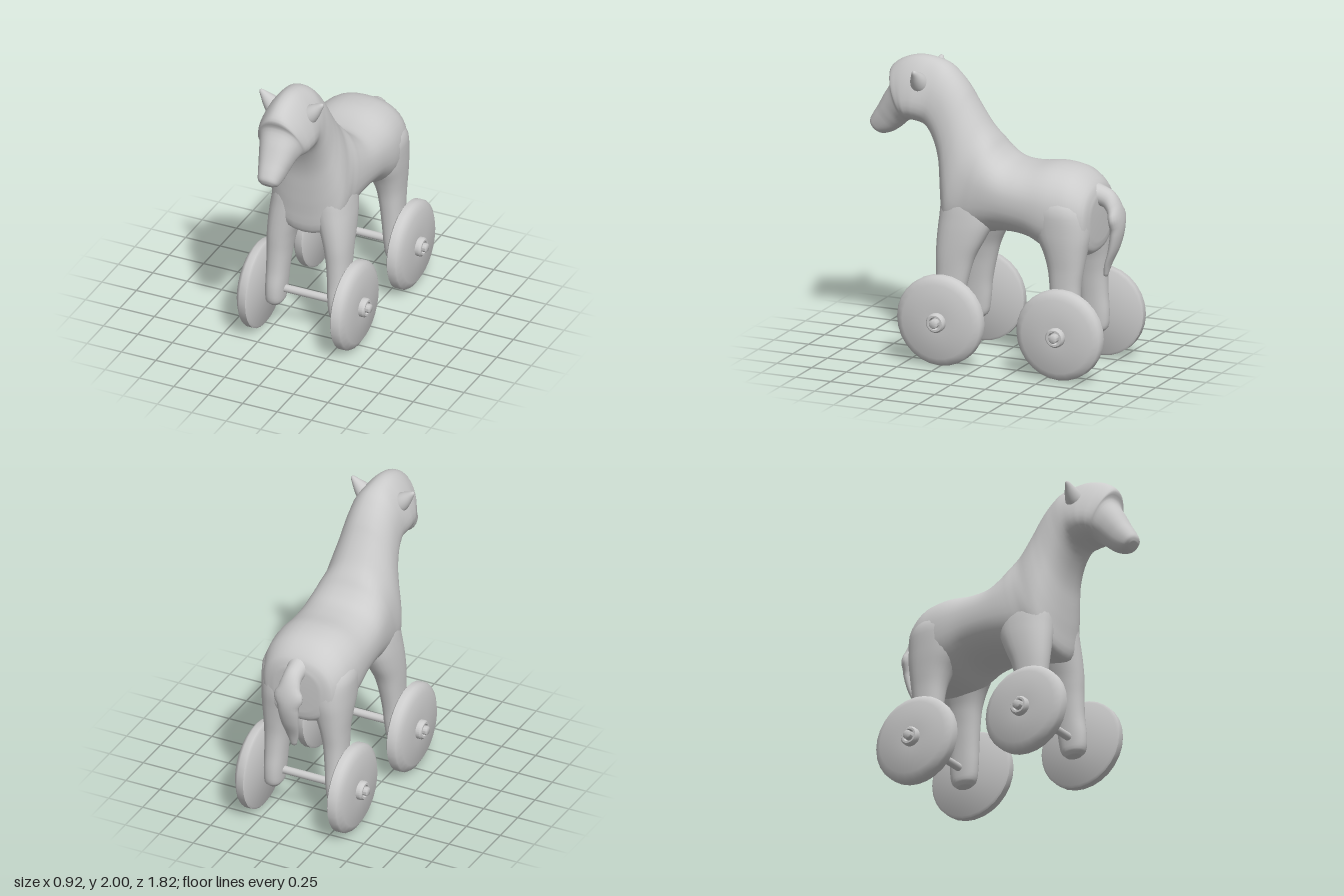
import * as THREE from 'three';
import { toCreasedNormals } from 'three/addons/utils/BufferGeometryUtils.js';

const material = new THREE.MeshStandardMaterial({ color: 0xcccccc });

function add(parent, name, geometry) {
  const mesh = new THREE.Mesh(geometry, material);
  mesh.name = name;
  parent.add(mesh);
  return mesh;
}

// Smooth skin through rings: [z1, y1, z2, y2, halfWidth, taper, centreX].
// (z1, y1) and (z2, y2) are opposite ends of a ring; taper narrows the first end.
function loft(sections, { power = 2.3, steps = 4, sides = 36 } = {}) {
  const curve = f => new THREE.CatmullRomCurve3(sections.map(f));
  const first = curve(s => new THREE.Vector3(0, s[1], s[0]));
  const second = curve(s => new THREE.Vector3(0, s[3], s[2]));
  const shape = curve(s => new THREE.Vector3(s[4], s[5] || 0, s[6] || 0));
  const count = (sections.length - 1) * steps;
  const positions = [], index = [];
  const bend = v => Math.sign(v) * Math.pow(Math.abs(v), 2 / power);
  const ring = (t, size) => {
    const a = first.getPoint(t), b = second.getPoint(t), s = shape.getPoint(t);
    const mid = a.clone().add(b).multiplyScalar(0.5);
    const half = a.sub(b).multiplyScalar(0.5 * size);
    for (let j = 0; j < sides; j++) {
      const angle = (j / sides) * Math.PI * 2;
      const v = bend(Math.cos(angle));
      const x = s.x * size * bend(Math.sin(angle)) * (1 - s.y * v);
      positions.push(s.z + x, mid.y + half.y * v, mid.z + half.z * v);
    }
  };
  ring(0, 0);
  for (let i = 0; i <= count; i++) ring(i / count, 1);
  ring(1, 0);
  for (let i = 0; i < count + 2; i++) {
    for (let j = 0; j < sides; j++) {
      const k = (j + 1) % sides;
      const a = i * sides + j, b = i * sides + k, c = a + sides, d = b + sides;
      index.push(a, c, b, b, c, d);
    }
  }
  const geometry = new THREE.BufferGeometry();
  geometry.setAttribute('position', new THREE.Float32BufferAttribute(positions, 3));
  geometry.setIndex(index);
  geometry.computeVertexNormals();
  return geometry;
}

// Leg rings from hip to hoof: [y, centreZ, radiusZ, centreX, radiusX]
const legLoft = (rows, side) => loft(
  rows.map(([y, z, rz, x, rx]) => [z + rz, y, z - rz, y, rx, 0, x * side]), { sides: 28 });

// Rump to neck to muzzle
const trunk = [
  [-0.75, 1.19, -0.74, 0.88, 0.16],
  [-0.72, 1.27, -0.72, 0.81, 0.25],
  [-0.61, 1.355, -0.61, 0.77, 0.305],
  [-0.45, 1.38, -0.45, 0.79, 0.32],
  [-0.27, 1.36, -0.30, 0.87, 0.31],
  [-0.13, 1.375, -0.13, 0.89, 0.30],
  [-0.05, 1.435, 0.04, 0.86, 0.29],
  [0.00, 1.50, 0.20, 0.81, 0.28],
  [0.06, 1.575, 0.32, 0.81, 0.27, 0.1],
  [0.12, 1.665, 0.35, 0.98, 0.25, 0.15],
  [0.17, 1.745, 0.365, 1.15, 0.222, 0.15],
  [0.21, 1.81, 0.38, 1.30, 0.202, 0.15],
  [0.27, 1.885, 0.42, 1.43, 0.188, 0.15],
  [0.35, 1.955, 0.48, 1.53, 0.18, 0.2],
  [0.45, 1.99, 0.54, 1.555, 0.178, 0.35],
  [0.57, 1.995, 0.57, 1.56, 0.175, 0.4],
  [0.69, 1.955, 0.59, 1.56, 0.17, 0.4],
  [0.76, 1.89, 0.605, 1.558, 0.16, 0.3],
  [0.745, 1.82, 0.62, 1.55, 0.15, 0.1],
  [0.80, 1.72, 0.65, 1.53, 0.125, 0.05],
  [0.85, 1.63, 0.70, 1.485, 0.102],
  [0.89, 1.565, 0.76, 1.447, 0.085],
  [0.91, 1.52, 0.82, 1.432, 0.068],
  [0.902, 1.485, 0.86, 1.445, 0.04],
];

const frontLeg = [
  [1.25, 0.13, 0.14, 0.10, 0.10],
  [1.10, 0.14, 0.19, 0.13, 0.135],
  [0.97, 0.15, 0.19, 0.155, 0.13],
  [0.84, 0.18, 0.165, 0.185, 0.11],
  [0.72, 0.21, 0.135, 0.205, 0.092],
  [0.60, 0.225, 0.115, 0.215, 0.08],
  [0.45, 0.242, 0.10, 0.222, 0.072],
  [0.32, 0.255, 0.10, 0.226, 0.067],
  [0.22, 0.26, 0.085, 0.23, 0.06],
  [0.185, 0.26, 0.05, 0.23, 0.035],
];

const hindLeg = [
  [1.27, -0.50, 0.13, 0.13, 0.11],
  [1.12, -0.53, 0.19, 0.165, 0.157],
  [0.96, -0.55, 0.19, 0.175, 0.145],
  [0.83, -0.575, 0.148, 0.195, 0.115],
  [0.72, -0.585, 0.122, 0.208, 0.092],
  [0.60, -0.585, 0.106, 0.216, 0.08],
  [0.45, -0.59, 0.10, 0.222, 0.072],
  [0.32, -0.597, 0.10, 0.226, 0.067],
  [0.22, -0.60, 0.085, 0.23, 0.06],
  [0.185, -0.60, 0.05, 0.23, 0.035],
];

// Tip to root
const tail = [
  [-0.79, 0.64, -0.765, 0.65, 0.02],
  [-0.82, 0.73, -0.77, 0.71, 0.042],
  [-0.875, 0.85, -0.80, 0.82, 0.062],
  [-0.908, 1.00, -0.818, 0.97, 0.078],
  [-0.885, 1.13, -0.80, 1.08, 0.078],
  [-0.83, 1.22, -0.77, 1.11, 0.065],
  [-0.76, 1.255, -0.73, 1.12, 0.068],
  [-0.68, 1.28, -0.66, 1.12, 0.10],
];

// Wheel profile from inner face to outer hub: [radius, distance along axle]
const wheelProfile = [
  [0, 0.30], [0.29, 0.30], [0.305, 0.31], [0.305, 0.355], [0.295, 0.37], [0.25, 0.397],
  [0.065, 0.397], [0.065, 0.425], [0.055, 0.437], [0.042, 0.437], [0.035, 0.415],
  [0.03, 0.415], [0.03, 0.455], [0.024, 0.46], [0, 0.46],
].map(p => new THREE.Vector2(...p));

const earProfile = [[0.08, -0.04], [0.078, 0.01], [0.06, 0.06], [0.036, 0.105], [0.016, 0.14], [0, 0.148]]
  .map(p => new THREE.Vector2(...p));

export function createModel() {
  const model = new THREE.Group();
  model.name = 'horseOnWheels';

  add(model, 'bodyNeckAndHead', loft(trunk));
  add(model, 'tail', loft(tail, { power: 2, sides: 20 }));

  for (const [side, label] of [[1, 'left'], [-1, 'right']]) {
    add(model, label + 'FrontLeg', legLoft(frontLeg, side));
    add(model, label + 'HindLeg', legLoft(hindLeg, side));

    // Ears lean outward
    const ear = add(model, label + 'Ear',
      new THREE.LatheGeometry(new THREE.SplineCurve(earProfile).getPoints(14), 20));
    ear.position.set(0.125 * side, 1.835, 0.505);
    ear.rotation.z = -0.78 * side;
    ear.scale.set(0.8, 1, 0.8);
  }

  for (const [z, end] of [[0.26, 'front'], [-0.60, 'rear']]) {
    const axle = add(model, end + 'Axle', new THREE.CylinderGeometry(0.027, 0.027, 0.64, 16));
    axle.rotation.z = Math.PI / 2;
    axle.position.set(0, 0.305, z);

    for (const [side, label] of [[1, 'Left'], [-1, 'Right']]) {
      const wheel = add(model, end + label + 'Wheel',
        toCreasedNormals(new THREE.LatheGeometry(wheelProfile, 28), 0.7));
      wheel.rotation.z = -side * Math.PI / 2;
      wheel.position.set(0, 0.305, z);
    }
  }
  return model;
}
